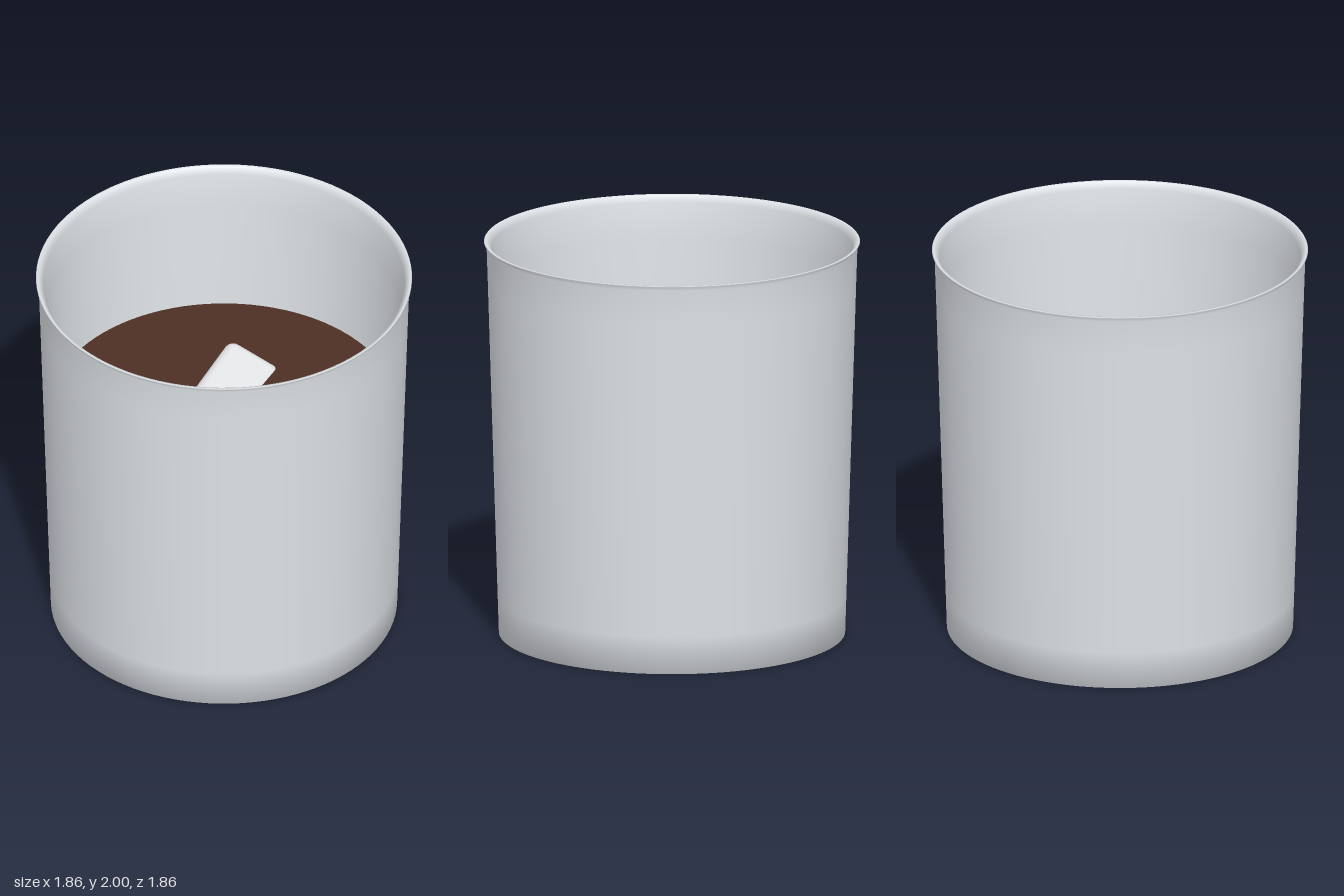
import * as THREE from 'three';
import { RoundedBoxGeometry } from 'three/addons/geometries/RoundedBoxGeometry.js';

const LIQUID_Y = 1.19;

const mat = (name, color) => {
  const m = new THREE.MeshStandardMaterial({ color });
  m.name = name;
  return m;
};

export function createModel() {
  const group = new THREE.Group();
  group.name = 'cup';
  const ceramic = mat('pale ceramic', 0xdfe3e7);
  const brown = mat('dark brown liquid', 0x4d2e24);
  const white = mat('soft white', 0xe4e6e8);

  const add = (name, geometry, material) => {
    const mesh = new THREE.Mesh(geometry, material);
    mesh.name = name;
    group.add(mesh);
    return mesh;
  };

  // Tapered cup wall: base, outside, flared lip, inside, inner floor
  const profile = [
    [0, 0], [0.76, 0], [0.858, 0], [0.864, 0.19], [0.913, 1.8], [0.919, 1.975],
    [0.932, 1.995], [0.928, 2], [0.915, 1.998], [0.893, 1.965], [0.882, 1.78],
    [0.86, LIQUID_Y], [0.825, 0.2], [0.81, 0.06], [0.72, 0.05], [0, 0.05],
  ].map(([r, y]) => new THREE.Vector2(r, y));
  add('cupWall', new THREE.LatheGeometry(profile, 96), ceramic);

  // Flat liquid surface
  const liquid = add('liquid', new THREE.CircleGeometry(0.861, 96), brown);
  liquid.rotation.x = -Math.PI / 2;
  liquid.position.y = LIQUID_Y;

  // Two soft blocks, tilted and half sunk
  const block = new RoundedBoxGeometry(0.3, 0.28, 0.47, 5, 0.05);
  [
    { x: -0.006, z: -0.21, turn: -0.28, pitch: 0.04, roll: -0.35 },
    { x: -0.034, z: 0.323, turn: -0.75, pitch: 0, roll: 0.3 },
  ].forEach(({ x, z, turn, pitch, roll }, i) => {
    const mesh = add('floatingBlock' + (i + 1), block, white);
    mesh.position.set(x, LIQUID_Y - 0.09, z);
    mesh.rotation.set(pitch, turn, roll, 'YXZ');
  });

  return group;
}
